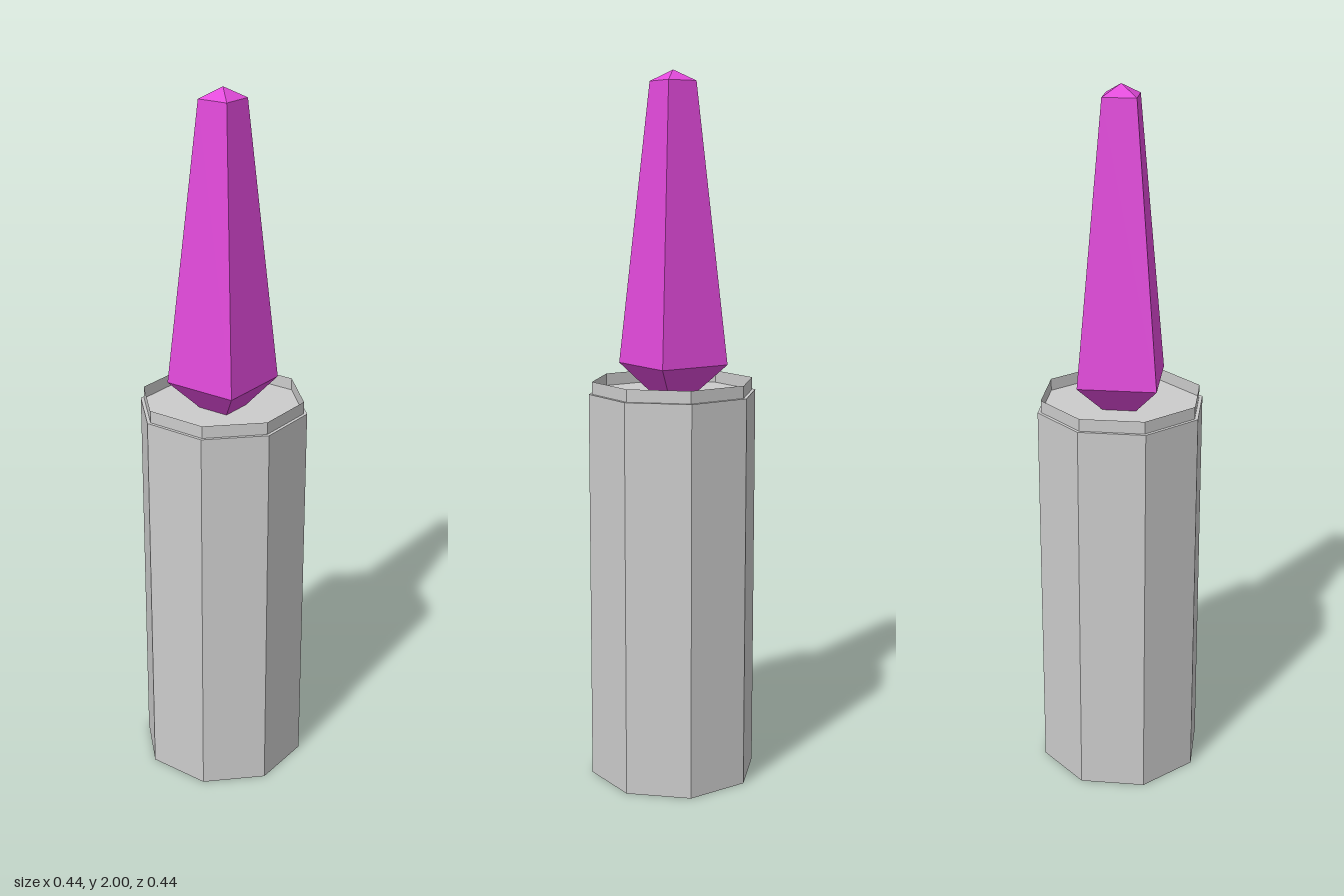
import * as THREE from 'three';

// Octagonal tube with flats facing the axes
function octagon(apothem, y0, y1) {
  const r = apothem / Math.cos(Math.PI / 8);
  const geo = new THREE.CylinderGeometry(r, r, y1 - y0, 8, 1, true, Math.PI / 8);
  return geo.translate(0, (y0 + y1) / 2, 0);
}

export function createModel() {
  const group = new THREE.Group();
  const grey = new THREE.MeshStandardMaterial({ color: 0xcccccc, flatShading: true, side: THREE.DoubleSide });
  const pink = new THREE.MeshStandardMaterial({ color: 0xe24adb, flatShading: true });

  const add = (name, geo, mat) => {
    const mesh = new THREE.Mesh(geo, mat);
    mesh.name = name;
    group.add(mesh);
  };

  const floorY = 1.115;

  // Hollow shell, open at the bottom
  add('shell', octagon(0.222, 0, floorY), grey);

  // Flat top of the shell
  const plate = new THREE.CircleGeometry(0.222 / Math.cos(Math.PI / 8), 8, Math.PI / 8);
  plate.rotateX(-Math.PI / 2).translate(0, floorY, 0);
  add('topPlate', plate, grey);

  // Thin raised lip, set slightly in from the shell
  add('lip', octagon(0.213, floorY, 1.15), grey);

  // Four-sided crystal, its lower point sunk into the plate
  const profile = [[0, 1.055], [0.155, 1.195], [0.065, 1.97], [0, 2]];
  const points = profile.map(([r, y]) => new THREE.Vector2(r, y));
  add('crystal', new THREE.LatheGeometry(points, 4), pink);

  return group;
}
